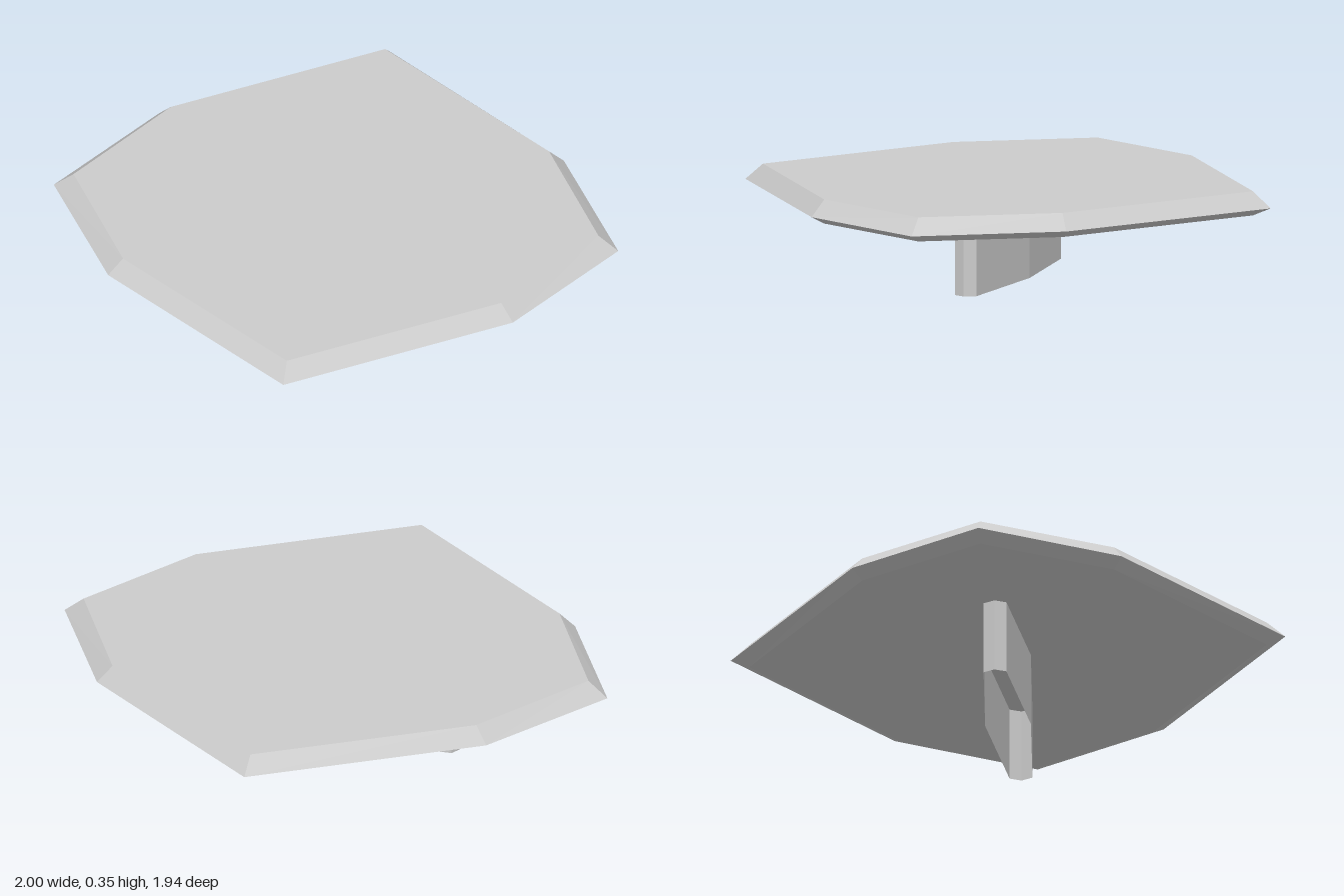
import * as THREE from 'three';

// Mirror a quarter outline [right tip, corner, front tip] into eight points
function octagon([[tipX], [cx, cz], [, tipZ]], y) {
  return [
    [tipX, 0], [cx, cz], [0, tipZ], [-cx, cz],
    [-tipX, 0], [-cx, -cz], [0, -tipZ], [cx, -cz],
  ].map(([x, z]) => new THREE.Vector3(x, y, z));
}

// Skin rings from bottom to top with flat faces, optionally capped
function loft(rings, capped) {
  const points = [];
  const n = rings[0].length;
  for (let r = 0; r < rings.length - 1; r++) {
    const low = rings[r], up = rings[r + 1];
    for (let i = 0; i < n; i++) {
      const j = (i + 1) % n;
      points.push(low[i], up[i], low[j], low[j], up[i], up[j]);
    }
  }
  if (capped) {
    const bottom = rings[0], top = rings[rings.length - 1];
    for (let i = 1; i < n - 1; i++) {
      points.push(bottom[0], bottom[i], bottom[i + 1]);
      points.push(top[0], top[i + 1], top[i]);
    }
  }
  const geometry = new THREE.BufferGeometry().setFromPoints(points);
  geometry.computeVertexNormals();
  return geometry;
}

export function createModel() {
  const grey = new THREE.MeshStandardMaterial({ color: 0xcccccc, side: THREE.DoubleSide });
  grey.name = 'light grey';

  const model = new THREE.Group();
  model.name = 'table';

  // Bevelled eight-sided top
  const inner = [[0.93, 0], [0.67, 0.44], [0, 0.905]];
  const rim = [[1, 0], [0.717, 0.47], [0, 0.97]];
  const top = new THREE.Mesh(
    loft([octagon(inner, 0.265), octagon(rim, 0.293), octagon(inner, 0.35)], true), grey);
  top.name = 'tableTop';

  // Narrow hollow pedestal, open at the floor
  const foot = [[0.46, 0], [0.44, 0.04], [0, 0.08]];
  const pedestal = new THREE.Mesh(
    loft([octagon(foot, 0), octagon(foot, 0.265)], false), grey);
  pedestal.name = 'pedestal';

  model.add(top, pedestal);
  return model;
}
